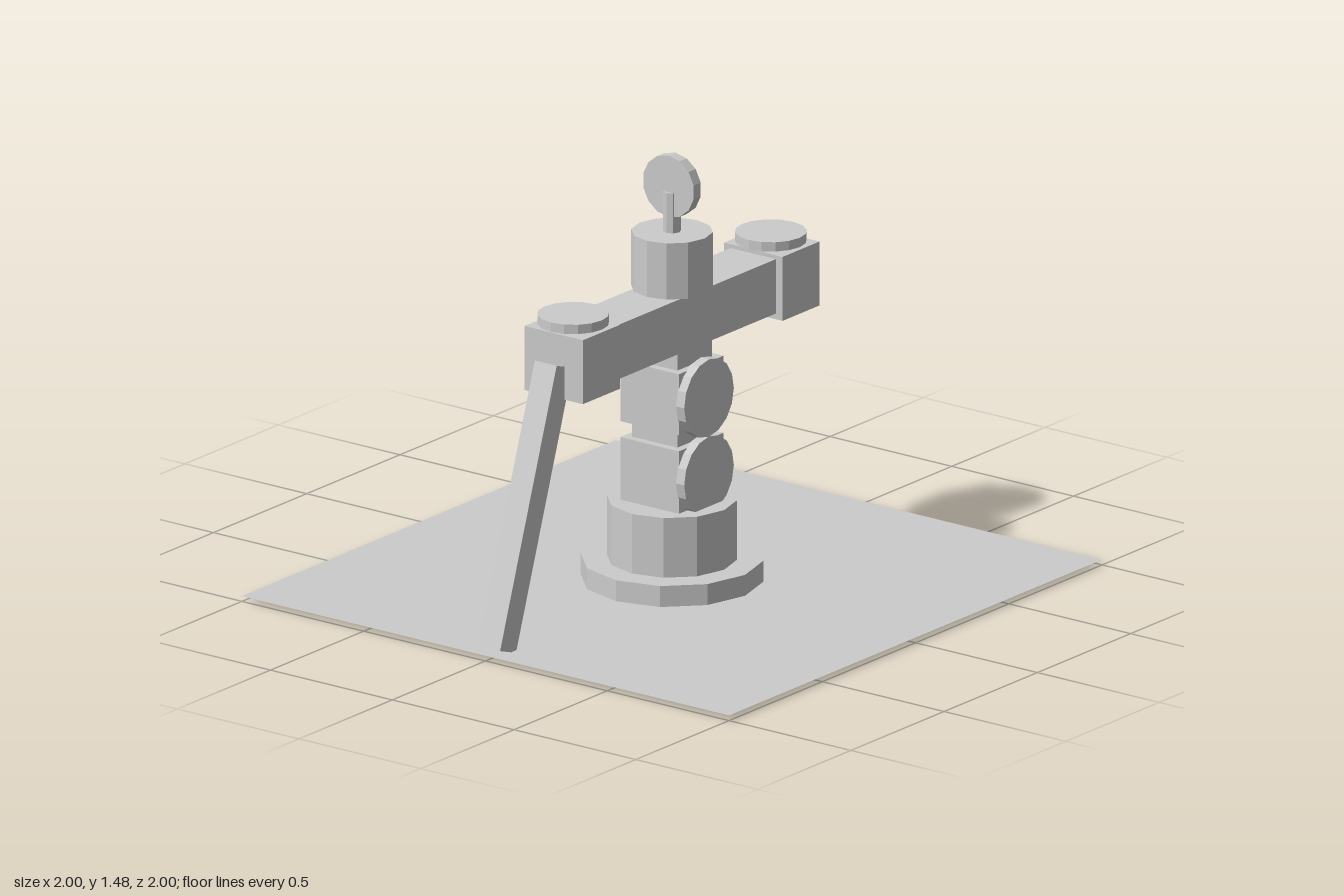
import * as THREE from 'three';

export function createModel() {
  const model = new THREE.Group();
  const grey = new THREE.MeshStandardMaterial({ color: 0xcccccc, flatShading: true, side: THREE.DoubleSide });
  grey.name = 'plain grey';

  const add = (name, geometry, x, y, z) => {
    const mesh = new THREE.Mesh(geometry, grey);
    mesh.name = name;
    mesh.position.set(x, y, z);
    model.add(mesh);
    return mesh;
  };
  // Box and upright cylinder given by their bottom and top heights
  const box = (name, w, y0, y1, d, z = 0) =>
    add(name, new THREE.BoxGeometry(w, y1 - y0, d), 0, (y0 + y1) / 2, z);
  const drum = (name, r, y0, y1, sides = 12, z = 0) =>
    add(name, new THREE.CylinderGeometry(r, r, y1 - y0, sides), 0, (y0 + y1) / 2, z);

  // Ground sheet
  const sheet = add('groundSheet', new THREE.PlaneGeometry(2, 2), 0, 0.018, 0);
  sheet.rotation.x = -Math.PI / 2;

  // Stepped round base
  drum('baseFlange', 0.3, 0, 0.09);
  drum('baseHub', 0.214, 0.09, 0.295);

  // Column with two blocks, each carrying a disc on the left side
  box('column', 0.186, 0.29, 0.84, 0.186);
  [[0.29, 0.51, 0.403], [0.565, 0.775, 0.668]].forEach(([y0, y1, discY]) => {
    box('columnBlock', 0.24, y0, y1, 0.24);
    const disc = add('sideDisc', new THREE.CylinderGeometry(0.133, 0.133, 0.034, 16), 0.135, discY, 0);
    disc.rotation.z = Math.PI / 2;
  });

  // Cross arm with a block and a capped neck at each end
  box('crossArm', 0.186, 0.83, 1.017, 0.9);
  for (const side of [1, -1]) {
    box('armEndBlock', 0.24, 0.81, 1.03, 0.198, side * 0.535);
    drum('endCapNeck', 0.095, 1.03, 1.04, 16, side * 0.53);
    drum('endCap', 0.118, 1.038, 1.07, 16, side * 0.53);
  }

  // Top drum, stem and wheel
  drum('topDrum', 0.134, 1.02, 1.213);
  drum('topStem', 0.03, 1.21, 1.35, 8);
  const wheel = add('topWheel', new THREE.CylinderGeometry(0.106, 0.106, 0.038, 14), 0, 1.37, 0);
  wheel.rotation.x = Math.PI / 2;

  // Slanted strut from the front arm block to the ground
  const strut = add('slantedStrut', new THREE.BoxGeometry(0.09, 0.95, 0.09), 0, 0.4735, 0.786);
  strut.rotation.x = -0.325;

  return model;
}
